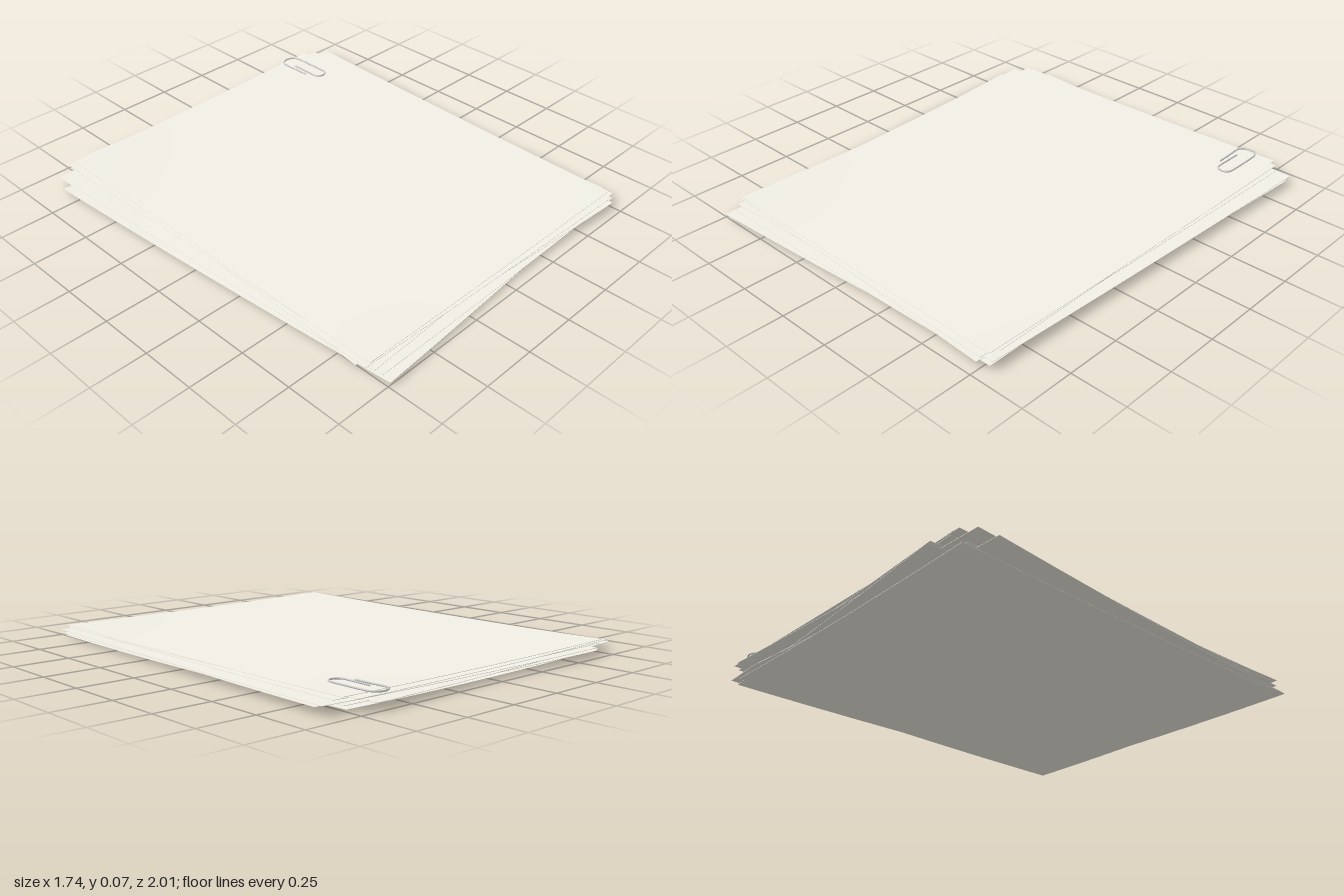
import * as THREE from 'three';

const WIDTH = 1.52, LENGTH = 1.855, THICK = 0.0015;

// Sheets from bottom to top: [centre x, centre z, turn in degrees, height, corner lift]
const SHEETS = [
  [0.005, 0.0, 0.6, 0.001, 0.010],
  [-0.052, 0.025, 4.1, 0.008, 0.010],
  [0.01, 0.02, 0.95, 0.014, 0.007],
  [0.043, -0.014, -3.7, 0.021, 0.009],
  [-0.041, -0.034, 3.05, 0.027, 0.006],
  [0.066, -0.026, -2.1, 0.033, 0.006],
  [0.01, 0.0, -1.4, 0.040, 0.005],
  [0.001, -0.033, 1.15, 0.047, 0.006],
  [0.012, -0.012, -0.3, 0.053, 0.005],
];

// Thin sheet whose corners curl gently upwards
function sheetGeometry(lift) {
  const geo = new THREE.BoxGeometry(WIDTH, THICK, LENGTH, 16, 1, 16);
  const p = geo.attributes.position;
  for (let i = 0; i < p.count; i++) {
    const u = Math.abs(p.getX(i)) / (WIDTH / 2);
    const v = Math.abs(p.getZ(i)) / (LENGTH / 2);
    p.setY(i, p.getY(i) + lift * (u * v) ** 2);
  }
  geo.computeVertexNormals();
  return geo;
}

// Wire path of the clip: two straight legs joined by round ends
function clipPath() {
  const pts = [];
  const y = 0.0615;
  const add = (x, z) => pts.push(new THREE.Vector3(x, y, z));
  const arc = (cx, cz, r, from, to) => {
    for (let i = 0; i <= 8; i++) {
      const a = THREE.MathUtils.lerp(from, to, i / 8);
      add(cx + r * Math.cos(a), cz + r * Math.sin(a));
    }
  };
  add(0.57, -0.785);
  add(0.569, -0.86);
  arc(0.612, -0.93, 0.046, Math.PI, 2 * Math.PI);
  add(0.66, -0.84);
  arc(0.626, -0.752, 0.033, 0, Math.PI);
  add(0.593, -0.82);
  add(0.594, -0.89);
  return new THREE.CatmullRomCurve3(pts, false, 'centripetal');
}

export function createModel() {
  const model = new THREE.Group();
  model.name = 'paperStack';
  const paper = new THREE.MeshStandardMaterial({ color: 0xf2f0e6 });
  const metal = new THREE.MeshStandardMaterial({ color: 0xcccccc });

  // Loose stack of pages
  const pages = new THREE.Group();
  pages.name = 'pages';
  SHEETS.forEach(([x, z, turn, y, lift], i) => {
    const sheet = new THREE.Mesh(sheetGeometry(lift), paper);
    sheet.name = `sheet${i + 1}`;
    sheet.position.set(x, y, z);
    sheet.rotation.y = THREE.MathUtils.degToRad(turn);
    pages.add(sheet);
  });
  model.add(pages);

  // Bent wire clip at the back corner
  const clip = new THREE.Mesh(new THREE.TubeGeometry(clipPath(), 120, 0.004, 8), metal);
  clip.name = 'paperClip';
  model.add(clip);

  return model;
}
